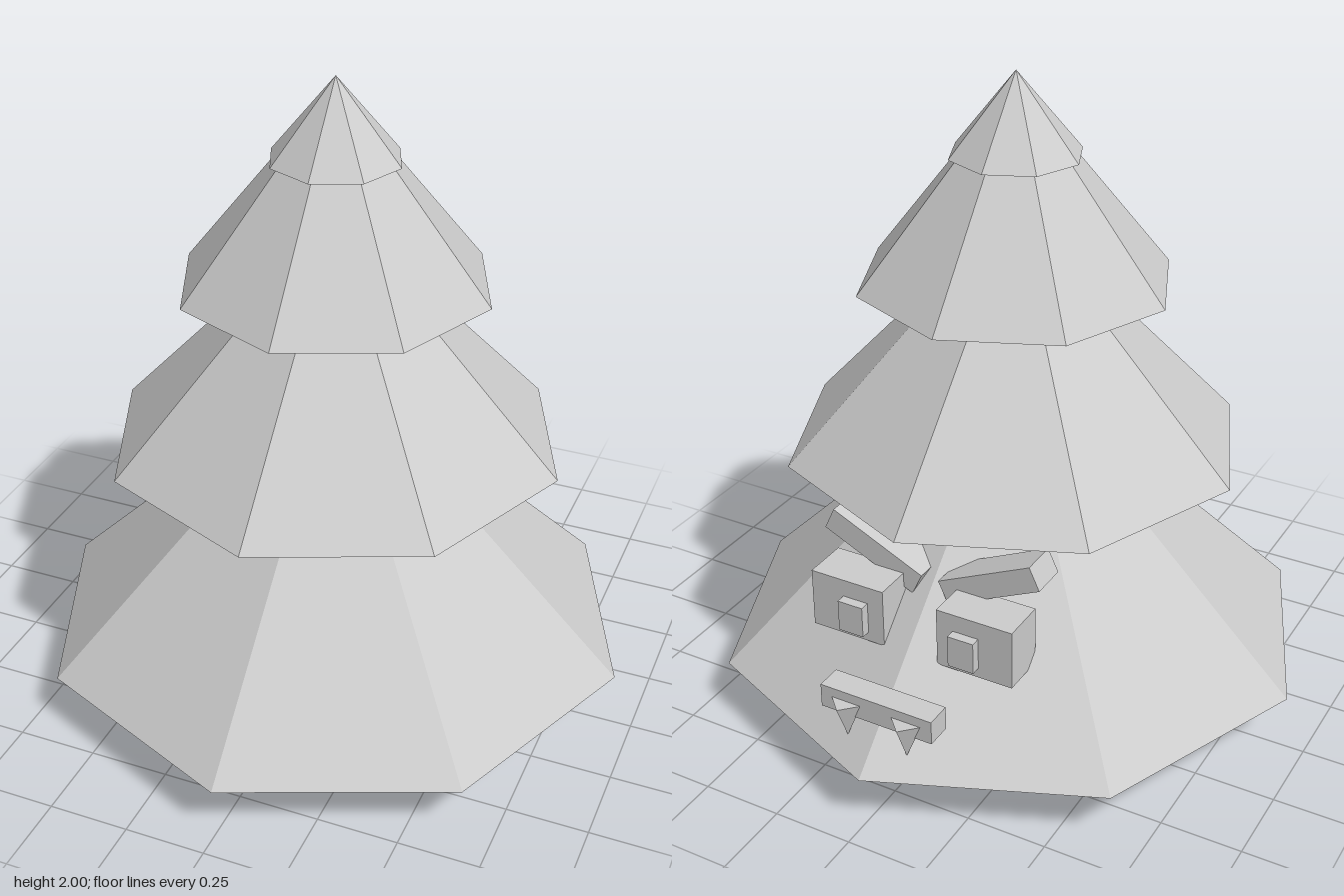
import * as THREE from 'three';
import { ConvexGeometry } from 'three/addons/geometries/ConvexGeometry.js';

export function createModel() {
  const model = new THREE.Group();
  model.name = 'treeCreature';
  const grey = new THREE.MeshStandardMaterial({ color: 0xcccccc, flatShading: true });
  grey.name = 'plain grey';

  const add = (name, geometry, x, y, z, parent = model) => {
    const mesh = new THREE.Mesh(geometry, grey);
    mesh.name = name;
    mesh.position.set(x, y, z);
    parent.add(mesh);
    return mesh;
  };

  // Eight-sided cone from its base height to its tip
  const cone = (name, radius, base, tip) =>
    add(name, new THREE.ConeGeometry(radius, tip - base, 8), 0, (base + tip) / 2, 0);

  // Branch tiers, each with a slightly wider cap on top
  cone('lowerBranches', 0.935, 0.175, 1.095);
  cone('lowerCap', 0.395, 0.75, 1.145);
  cone('middleBranches', 0.708, 0.845, 1.6);
  cone('middleCap', 0.296, 1.312, 1.6);
  cone('upperBranches', 0.48, 1.37, 1.975);
  cone('upperCap', 0.2, 1.755, 2);

  // Box with every edge chamfered by c
  const chamferedBox = (w, h, d, c) => {
    const points = [];
    for (const sx of [-1, 1]) for (const sy of [-1, 1]) for (const sz of [-1, 1]) {
      for (let axis = 0; axis < 3; axis++) {
        const p = [w / 2 - c, h / 2 - c, d / 2 - c];
        p[axis] += c;
        points.push(new THREE.Vector3(sx * p[0], sy * p[1], sz * p[2]));
      }
    }
    return new ConvexGeometry(points);
  };

  // Face on the back slope and feet, mirrored left and right
  const face = new THREE.Group();
  face.name = 'face';
  model.add(face);
  for (const [side, s] of [['left', 1], ['right', -1]]) {
    add(side + 'Foot', chamferedBox(0.31, 0.2, 0.39, 0.04), s * 0.285, 0.1, -0.07);
    add(side + 'Eye', new THREE.BoxGeometry(0.245, 0.187, 0.14), s * 0.2125, 0.517, -0.57, face);
    add(side + 'Pupil', new THREE.BoxGeometry(0.083, 0.1, 0.06), s * 0.185, 0.505, -0.64, face);
    const brow = add(side + 'Brow', new THREE.BoxGeometry(0.33, 0.077, 0.115), s * 0.194, 0.655, -0.467, face);
    brow.rotation.z = s * THREE.MathUtils.degToRad(25);
    const fang = add(side + 'Fang', new THREE.ConeGeometry(0.05, 0.12, 4), s * 0.1, 0.29, -0.833, face);
    fang.rotation.x = Math.PI;
  }
  add('mouth', new THREE.BoxGeometry(0.37, 0.075, 0.08), 0, 0.343, -0.795, face);

  return model;
}
